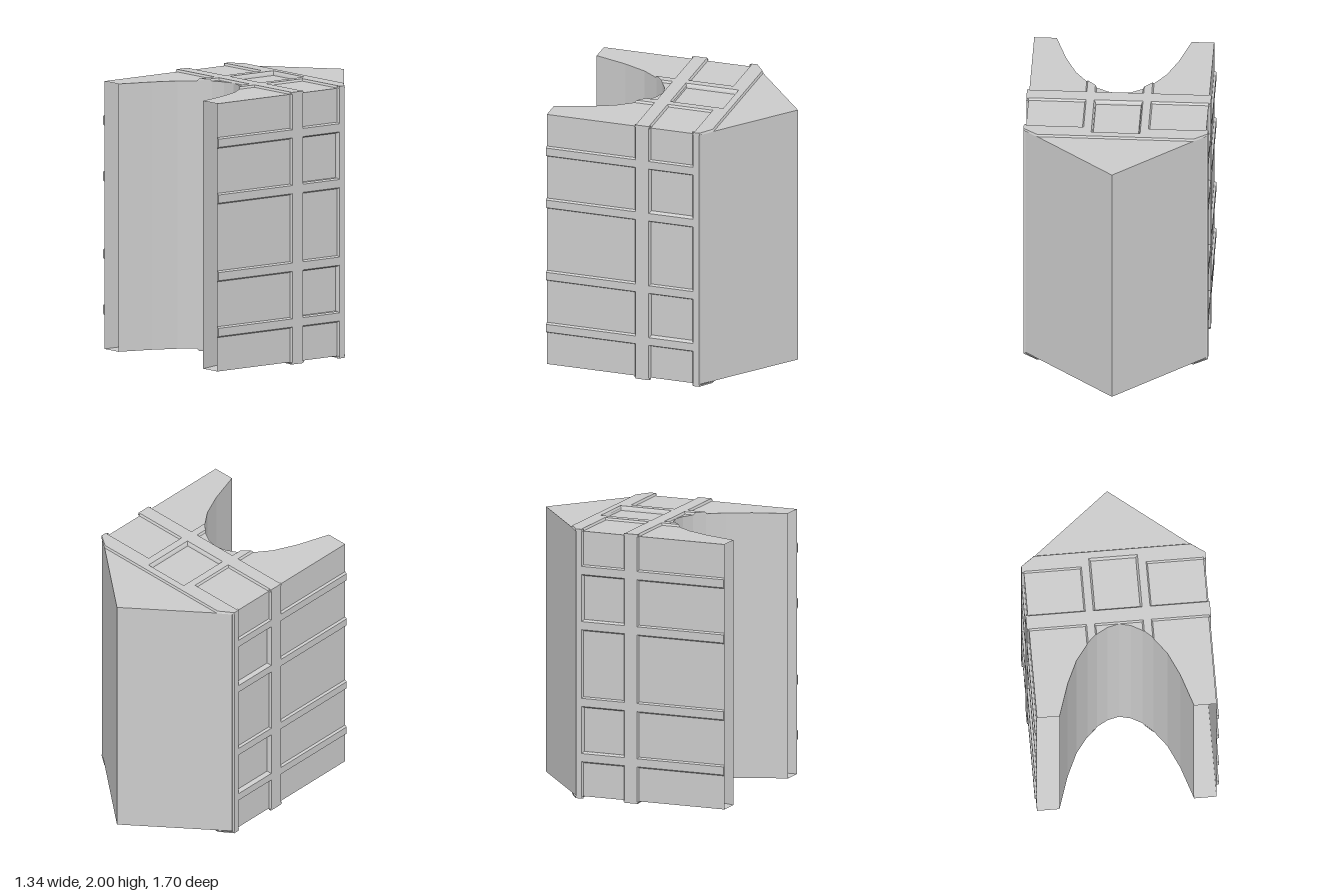
import * as THREE from 'three';

const WX = 0.654, HY = 0.984, RAISE = 0.016, BEVEL = 0.01;
const material = new THREE.MeshStandardMaterial({ color: 0xcccccc, flatShading: true, side: THREE.DoubleSide });

// Surface frames: (u, v, height above the wall) to a point in space
const sideFrame = s => (z, y, h) => [s * (WX + h), y, z];
const endFrame = s => (x, z, h) => [x, 1 + s * (HY + h), z];

function trianglesToMesh(name, points) {
  const geometry = new THREE.BufferGeometry();
  geometry.setAttribute('position', new THREE.Float32BufferAttribute(points.flat(), 3));
  geometry.computeVertexNormals();
  const mesh = new THREE.Mesh(geometry, material);
  mesh.name = name;
  return mesh;
}

// Sloping sides from the base outline up (or down) to a flat convex cap
function raised(name, base, cap, height, place) {
  const b = base.map(p => place(p[0], p[1], 0));
  const t = cap.map(p => place(p[0], p[1], height));
  const tris = [];
  for (let i = 0; i < b.length; i++) {
    const j = (i + 1) % b.length;
    tris.push(b[i], b[j], t[j], b[i], t[j], t[i]);
    if (i > 1) tris.push(t[0], t[i - 1], t[i]);
  }
  return trianglesToMesh(name, tris);
}

const rect = (u0, u1, v0, v1, du = 0, dv = du) =>
  [[u0 + du, v0 + dv], [u1 - du, v0 + dv], [u1 - du, v1 - dv], [u0 + du, v1 - dv]];

// Flat sheet with rectangular openings
function plate(name, outline, holes, place) {
  const toVectors = list => list.map(p => new THREE.Vector2(...p));
  const shape = new THREE.Shape(toVectors(outline));
  holes.forEach(h => shape.holes.push(new THREE.Path(toVectors(h))));
  const geometry = new THREE.ShapeGeometry(shape).toNonIndexed();
  const pos = geometry.attributes.position;
  for (let i = 0; i < pos.count; i++) pos.setXYZ(i, ...place(pos.getX(i), pos.getY(i), 0));
  geometry.computeVertexNormals();
  const mesh = new THREE.Mesh(geometry, material);
  mesh.name = name;
  return mesh;
}

// Upright wall following a line in plan
function uprightWall(name, line) {
  const tris = [], lo = 1 - HY, hi = 1 + HY;
  for (let i = 0; i + 1 < line.length; i++) {
    const [[ax, az], [bx, bz]] = [line[i], line[i + 1]];
    tris.push([ax, lo, az], [bx, lo, bz], [bx, hi, bz], [ax, lo, az], [bx, hi, bz], [ax, hi, az]);
  }
  return trianglesToMesh(name, tris);
}

export function createModel() {
  const model = new THREE.Group();

  // Arched recess in the front and pointed back, both in plan
  const halfArch = [[0.49, 0.85], [0.41, 0.605], [0.33, 0.43], [0.24, 0.31], [0.165, 0.24], [0.085, 0.196]];
  const arch = [...halfArch, [0, 0.176], ...halfArch.map(([x, z]) => [-x, z]).reverse()];
  const back = [[-WX, -0.327], [0, -0.852], [WX, -0.327]];
  model.add(uprightWall('archedRecess', arch), uprightWall('pointedBack', back));

  // Side walls with sunken panels, posts and rails
  const sunkenRows = [[0.34, 0.68], [1.32, 1.66]];
  const rails = [[0.27, 0.34], [0.68, 0.75], [1.25, 1.32], [1.66, 1.73]];
  for (const s of [1, -1]) {
    const place = sideFrame(s);
    const side = new THREE.Group();
    side.name = s > 0 ? 'leftSide' : 'rightSide';
    const holes = sunkenRows.map(([a, b]) => rect(-0.27, 0.06, a, b));
    side.add(plate('sideWall', rect(-0.327, 0.85, 1 - HY, 1 + HY), holes, place));
    holes.forEach(h => side.add(raised('sunkenPanel', h, rect(h[0][0], h[1][0], h[0][1], h[2][1], 0.006), -0.016, place)));
    side.add(raised('middlePost', rect(0.055, 0.175, 0, 2), rect(0.055, 0.175, 0, 2, BEVEL, 0), RAISE, place));
    side.add(raised('rearPost', rect(-0.325, -0.265, 0, 2), rect(-0.32, -0.275, 0, 2), RAISE, place));
    for (const [a, b] of rails) {
      side.add(raised('rail', rect(-0.32, 0.85, a - 0.005, b + 0.005), rect(-0.32, 0.85, a + 0.005, b - 0.005), RAISE, place));
    }
    model.add(side);
  }

  // Top and bottom with a sunken centre panel and raised bands
  for (const s of [1, -1]) {
    const place = endFrame(s);
    const end = new THREE.Group();
    end.name = s > 0 ? 'top' : 'bottom';
    const hole = rect(-0.17, 0.17, -0.335, 0.06);
    const outline = [[WX, 0.85], ...arch, [-WX, 0.85], ...back];
    end.add(plate('endWall', outline, [hole], place));
    end.add(raised('centrePanel', hole, rect(-0.17, 0.17, -0.335, 0.06, 0.006), -0.016, place));
    end.add(raised('crossBand', rect(-0.67, 0.67, 0.055, 0.176), rect(-0.67, 0.67, 0.055, 0.176, 0, BEVEL), RAISE, place));
    end.add(raised('rearBandCentre', rect(-0.2, 0.2, -0.398, -0.33), rect(-0.2, 0.2, -0.39, -0.34), RAISE, place));
    for (const m of [1, -1]) {
      const mirror = list => list.map(([x, z]) => [m * x, z]);
      // Rear band, cut off along the pointed back
      end.add(raised('rearBand',
        mirror([[0.168, -0.27], [0.67, -0.27], [0.67, -0.325], [0.57, -0.398], [0.168, -0.398]]),
        mirror([[0.178, -0.28], [0.67, -0.28], [0.67, -0.32], [0.57, -0.39], [0.178, -0.39]]), RAISE, place));
      // Lengthwise band, cut off by the arch
      end.add(raised('lengthBand',
        mirror([[0.168, -0.3], [0.245, -0.3], [0.245, 0.317], [0.168, 0.243]]),
        mirror([[0.178, -0.3], [0.235, -0.3], [0.235, 0.305], [0.178, 0.252]]), RAISE, place));
    }
    model.add(end);
  }
  return model;
}
